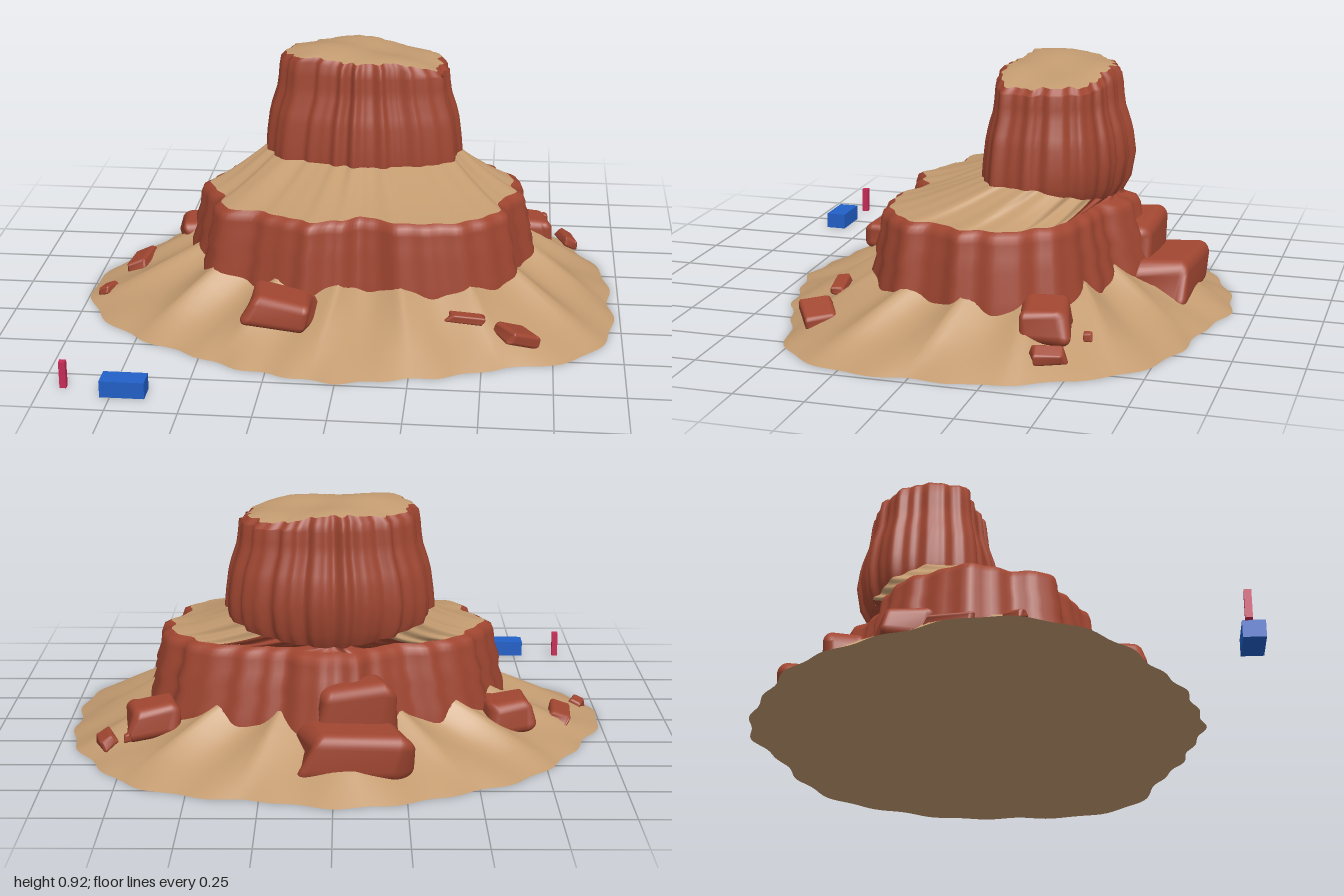
import * as THREE from 'three';
import { mergeVertices } from 'three/addons/utils/BufferGeometryUtils.js';
import { RoundedBoxGeometry } from 'three/addons/geometries/RoundedBoxGeometry.js';

const TAU = Math.PI * 2;
const mat = (name, color) => Object.assign(new THREE.MeshStandardMaterial({ color }), { name });

// Outline radii every 15 degrees, from +x round through +z (front), -x and -z (back)
const BASE = [.965, .995, .96, .81, .755, .72, .735, .725, .75, .785, .88, .97, 1, .945, .925, .92, .89, .9, .91, .88, .935, .99, .98, .985];
const CLIFF = [.64, .61, .63, .57, .52, .44, .41, .48, .51, .53, .63, .62, .65, .6, .57, .49, .47, .51, .51, .48, .47, .54, .6, .64];
const TOWER = [.36, .365, .36, .3, .27, .255, .25, .25, .26, .285, .35, .37, .37, .36, .34, .31, .29, .28, .27, .27, .28, .31, .34, .36];

// Smooth periodic interpolation of an outline
function radius(list, a) {
  const n = list.length, t = (((a / TAU) % 1 + 1) % 1) * n, i = Math.floor(t), f = t - i;
  const [p, q, r, s] = [-1, 0, 1, 2].map(k => list[(i + k + n) % n]);
  return q + .5 * f * (r - p + f * (2 * p - 5 * q + 4 * r - s + f * (3 * (q - r) + s - p)));
}

const back = a => Math.max(0, -Math.sin(a));
const flute = a => .008 * Math.sin(17 * a + 1.3 * Math.sin(3 * a)) + .005 * Math.sin(31 * a + 2 * Math.sin(2 * a));
const capY = (x, z) => .908 - .3 * (x + .1) ** 2 - .3 * (z + .2) ** 2 + .006 * Math.sin(17 * x + 11 * z) + .004 * Math.sin(25 * z - 9 * x);

// A ring maps an angle to a point; inset and y may depend on the angle
function ring(cx, cz, list, inset, y, scale = 1, rough = 1) {
  const val = (v, ...k) => (typeof v === 'function' ? v(...k) : v);
  return a => {
    const r = scale * (radius(list, a) + rough * flute(a) - val(inset, a));
    const x = cx + r * Math.cos(a), z = cz + r * Math.sin(a);
    return [x, val(y, a, x, z), z];
  };
}

// Skin through rings from bottom to top, over an arc in degrees
function loft(name, material, rings, from = 0, to = 360) {
  const n = Math.round((to - from) * .6), full = to - from === 360, cols = full ? n : n + 1;
  const pos = [], idx = [];
  for (const r of rings) {
    for (let i = 0; i < cols; i++) pos.push(...r((from + (to - from) * i / n) * TAU / 360));
  }
  for (let j = 0; j < rings.length - 1; j++) {
    for (let i = 0; i < n; i++) {
      const a = j * cols + i, b = j * cols + (i + 1) % cols, c = a + cols, d = b + cols;
      idx.push(a, c, b, b, c, d);
    }
  }
  const g = new THREE.BufferGeometry();
  g.setAttribute('position', new THREE.Float32BufferAttribute(pos, 3));
  g.setIndex(idx);
  g.computeVertexNormals();
  const m = new THREE.Mesh(g, material);
  m.name = name;
  return m;
}

// Worn block: a rounded box pushed about by smooth waves
function boulder(material, [name, x, y, z, w, h, d, turn = 0, tilt = 0]) {
  let g = new RoundedBoxGeometry(w, h, d, 4, Math.min(w, h, d) * .28);
  g.deleteAttribute('normal');
  g.deleteAttribute('uv');
  g = mergeVertices(g, 1e-5);
  const p = g.attributes.position;
  for (let i = 0; i < p.count; i++) {
    const [u, v, s] = [p.getX(i) / w, p.getY(i) / h, p.getZ(i) / d];
    p.setXYZ(i,
      w * (u * (1 - .18 * v) + .07 * Math.sin(5 * s + 9 * x + 3 * v)),
      h * (v + .08 * Math.sin(5 * u + 7 * z)),
      d * (s * (1 - .15 * v) + .07 * Math.sin(6 * u + 5 * x + 2 * v)));
  }
  g.computeVertexNormals();
  const m = new THREE.Mesh(g, material);
  m.name = name;
  m.position.set(x, y, z);
  m.rotation.set(0, turn, tilt);
  return m;
}

function box(name, material, x0, x1, y1, z0, z1) {
  const m = new THREE.Mesh(new THREE.BoxGeometry(x1 - x0, y1, z1 - z0), material);
  m.name = name;
  m.position.set((x0 + x1) / 2, y1 / 2, (z0 + z1) / 2);
  return m;
}

export function createModel() {
  const group = new THREE.Group();
  group.name = 'butte';
  const sand = mat('sand', 0xc39b70), rock = mat('red rock', 0xa04631);
  const blue = mat('blue', 0x2260c8), crimson = mat('crimson', 0xc82c58);

  // Sandy apron with fan-shaped ridges, and its flat underside
  const fan = a => Math.abs(Math.sin(7.5 * a + .6 * Math.sin(2 * a)));
  const foot = ring(0, 0, BASE, a => .008 * Math.cos(26 * a), 0, 1, 0);
  const shoulder = ring(.03, -.1, CLIFF, .03, a => .215 - .05 * fan(a), 1, 0);
  const slope = (t, drop) => a => {
    const p = foot(a), q = shoulder(a);
    return p.map((v, k) => v + (q[k] - v) * t - (k === 1 ? drop * (fan(a) - .3) : 0));
  };
  group.add(
    loft('underside', sand, [() => [0, 0, 0], foot]),
    loft('talusApron', sand, [foot, slope(.12, 0), slope(.3, .006), slope(.5, .014), slope(.75, .012), shoulder]));

  // Lower cliff, leaning in and rounded at its rim
  const cliff = (inset, y) => ring(.03, -.1, CLIFF, a => inset * (1 + .5 * back(a)), y, 1, 1.2);
  const rim = cliff(.075, .414);
  group.add(loft('lowerCliff', rock, [
    cliff(-.005, .1), cliff(.002, .19), cliff(.02, .24), cliff(.018, .28),
    cliff(.036, .33), cliff(.04, .375), cliff(.05, .402), rim]));

  // Terrace: sand on the front and sides, bare rock behind
  const towerRing = (inset, y) => ring(.02, -.26, TOWER, inset, y);
  const towerFoot = towerRing(a => .05 * back(a), a => .512 - .085 * back(a));
  const ledge = t => a => {
    const p = rim(a), q = towerFoot(a);
    return p.map((v, k) => v + (q[k] - v) * (k === 1 ? t ** 1.25 : t));
  };
  const ledges = [0, .2, .4, .6, .8, 1].map(ledge);
  group.add(
    loft('terrace', sand, ledges, -38, 222),
    loft('backLedge', rock, ledges, 222, 322));

  // Upper tower and its sandy cap
  const lip = towerRing(.078, (a, x, z) => capY(x, z) - .004);
  group.add(
    loft('tower', rock, [
      towerFoot, towerRing(a => .02 * back(a), a => .53 - .05 * back(a)),
      towerRing(.004, .575), towerRing(.014, .65), towerRing(.024, .69),
      towerRing(.044, .75), towerRing(.05, .79), towerRing(.054, .835),
      towerRing(.06, (a, x, z) => capY(x, z) - .02), lip]),
    loft('towerCap', sand, [
      lip, ...[.85, .65, .45, .25, .1, 0].map(s =>
        ring(.02, -.26, TOWER, .078, (a, x, z) => capY(x, z), s))]));

  // Fallen blocks around the foot: position, size, turn, tilt
  const blocks = [
    ['frontBoulder', -.22, .145, .44, .23, .11, .18, -.1],
    ['rightBoulder', -.62, .125, -.28, .17, .12, .18, .15],
    ['leftBoulder', .645, .14, -.385, .18, .12, .17, .05],
    ['backButtress', -.075, .12, -.66, .37, .17, .24, 0],
    ['backButtressStep', -.07, .2, -.55, .28, .26, .16, 0],
    ['frontLeftRock', .62, .075, .45, .13, .05, .12, .5, -.3],
    ['frontFlatRock', .44, .125, .435, .13, .03, .05, .1, -.1],
    ['rightFlatRock', -.84, .065, -.1, .08, .04, .16, -.15, .3],
    ['rightSmallRock', -.93, .035, .11, .05, .03, .07, -.4, .3],
    ['leftSmallRock', .81, .075, -.44, .06, .04, .11, .3, -.4],
    ['leftPebble', .72, .12, -.55, .025, .03, .03],
  ];
  blocks.forEach(b => group.add(boulder(rock, b)));

  // Small markers beside the butte
  group.add(
    box('blueBlock', blue, -.785, -.63, .06, .833, .91),
    box('crimsonPost', crimson, -.935, -.912, .098, .833, .857));
  return group;
}
